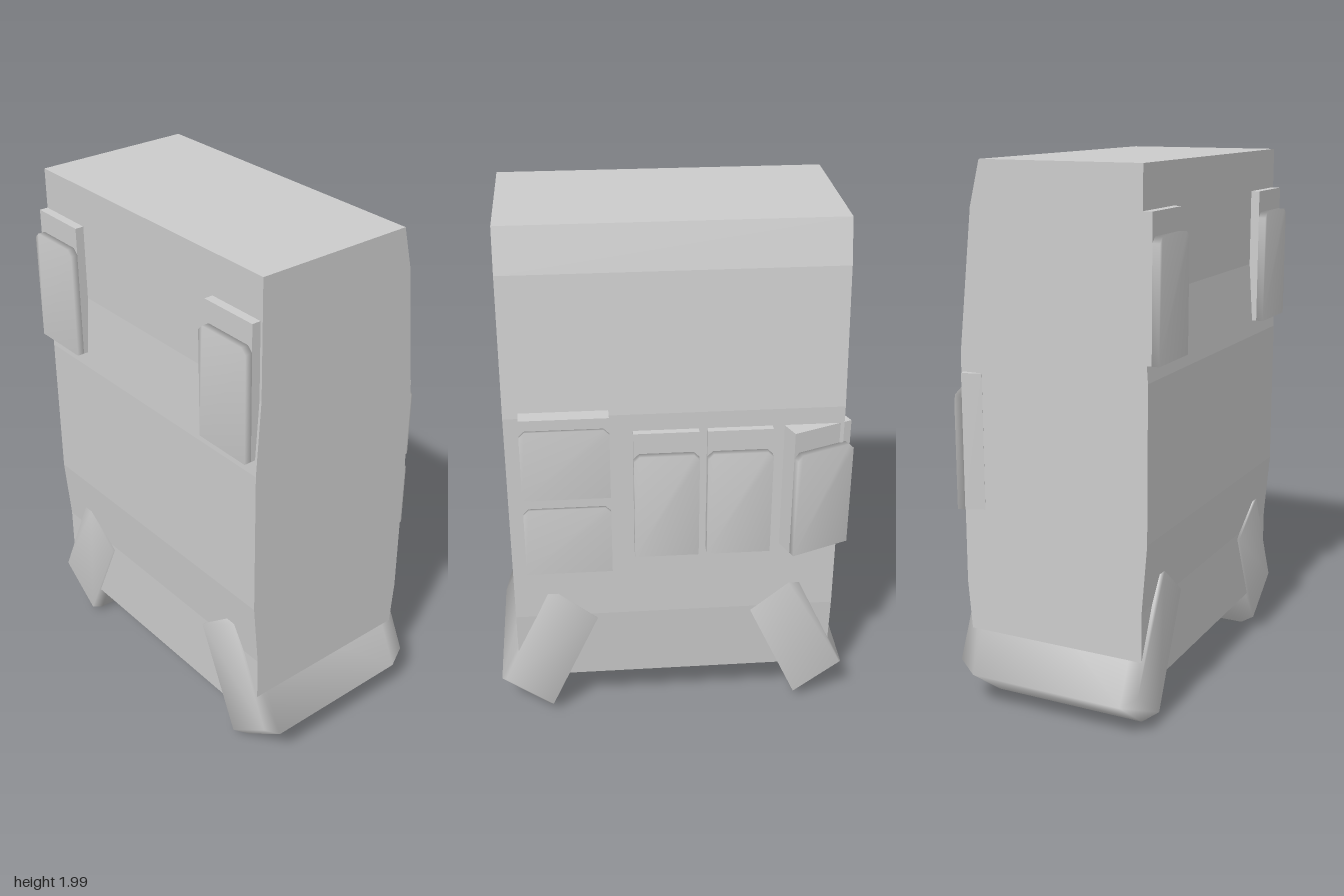
import * as THREE from 'three';

const grey = new THREE.MeshStandardMaterial({ color: 0xcccccc });
const greyFlat = new THREE.MeshStandardMaterial({ color: 0xcccccc, flatShading: true });

function addMesh(parent, name, geometry, material) {
  const mesh = new THREE.Mesh(geometry, material);
  mesh.name = name;
  parent.add(mesh);
  return mesh;
}

// Joins counter-clockwise outlines, ordered from low to high z, with shared (smooth) corners.
function loft(sections) {
  const n = sections[0].outline.length;
  const positions = sections.flatMap(({ outline, z }) => outline.flatMap(([x, y]) => [x, y, z]));
  const last = (sections.length - 1) * n;
  const index = [];
  for (let s = 0; s < last; s += n) {
    for (let i = 0; i < n; i++) {
      const a = s + i, b = s + (i + 1) % n;
      index.push(a, b, b + n, a, b + n, a + n);
    }
  }
  for (let i = 1; i < n - 1; i++) {
    index.push(0, i + 1, i, last, last + i, last + i + 1);
  }
  const geometry = new THREE.BufferGeometry();
  geometry.setAttribute('position', new THREE.Float32BufferAttribute(positions, 3));
  geometry.setIndex(index);
  geometry.computeVertexNormals();
  return geometry;
}

// Main pack: a side profile of (z, y) points extruded across x.
function createBody() {
  const profile = [
    [0.37, 0.18], [0.37, 0.48], [0.39, 0.73], [0.39, 1.29], [0.37, 1.57], [0.37, 2],
    [-0.24, 2], [-0.28, 1.84], [-0.335, 1.33], [-0.335, 0.48], [-0.31, 0.18],
  ];
  const shape = new THREE.Shape(profile.map(([z, y]) => new THREE.Vector2(-z, y)));
  return new THREE.ExtrudeGeometry(shape, { depth: 1.215, bevelEnabled: false })
    .rotateY(Math.PI / 2)
    .translate(-0.61, 0, 0);
}

// Slanted thigh guard, with its lower corners cut off at the front and back.
function createThighGuard(side) {
  const outline = (cut) => {
    const points = [
      [0.295, 0.46],
      [0.50 - 0.4 * cut, 0.01 + 0.85 * cut],
      [0.68 - 0.4 * cut, 0.145 + 0.85 * cut],
      [0.48, 0.58], [0.44, 0.58],
    ].map(([x, y]) => [x * side, y]);
    return side < 0 ? points.reverse() : points;
  };
  return loft([
    { outline: outline(0.05), z: -0.34 },
    { outline: outline(0), z: -0.28 },
    { outline: outline(0), z: 0.32 },
    { outline: outline(0.05), z: 0.38 },
  ]);
}

// Pouch facing +z: outer face at z = 0, bottom edge at y = 0.
function createPouch(name, { width, height, drop, lid, depth }) {
  const pouch = new THREE.Group();
  pouch.name = name;
  const back = new THREE.BoxGeometry(width, height, depth - lid)
    .translate(0, height / 2, -(depth + lid) / 2);
  addMesh(pouch, 'pouchBacking', back, greyFlat);

  const w = width / 2, top = height - drop, c = 0.02;
  const outline = [[-w, 0], [w, 0], [w, top - c], [w - c, top], [c - w, top], [-w, top - c]];
  addMesh(pouch, 'pouchCover', loft([{ outline, z: -lid }, { outline, z: 0 }]), grey);
  return pouch;
}

export function createModel() {
  const model = new THREE.Group();
  model.name = 'armourPack';
  addMesh(model, 'body', createBody(), greyFlat);
  addMesh(model, 'leftThighGuard', createThighGuard(1), grey);
  addMesh(model, 'rightThighGuard', createThighGuard(-1), grey);

  const tall = { width: 0.235, height: 0.5, drop: 0.08, lid: 0.027, depth: 0.1 };
  const wide = { width: 0.315, height: 0.315, drop: 0.04, lid: 0.012, depth: 0.09 };
  const back = Math.PI;

  // name, size, x, bottom y, outer z, turn about y
  const pouches = [
    ['frontRightPouch', tall, -0.4925, 1.35, 0.43, 0],
    ['frontLeftPouch', tall, 0.4775, 1.35, 0.43, 0],
    ['backMiddlePouch', tall, 0.0325, 0.765, -0.388, back],
    ['backInnerPouch', tall, -0.2325, 0.765, -0.388, back],
    ['backCornerPouch', tall, -0.54, 0.765, -0.387, back + 0.385],
    ['backUpperWidePouch', wide, 0.3925, 1.035, -0.405, back],
    ['backLowerWidePouch', wide, 0.3925, 0.72, -0.405, back],
  ];
  for (const [name, size, x, y, z, turn] of pouches) {
    const pouch = createPouch(name, size);
    pouch.position.set(x, y, z);
    pouch.rotation.y = turn;
    model.add(pouch);
  }
  return model;
}
